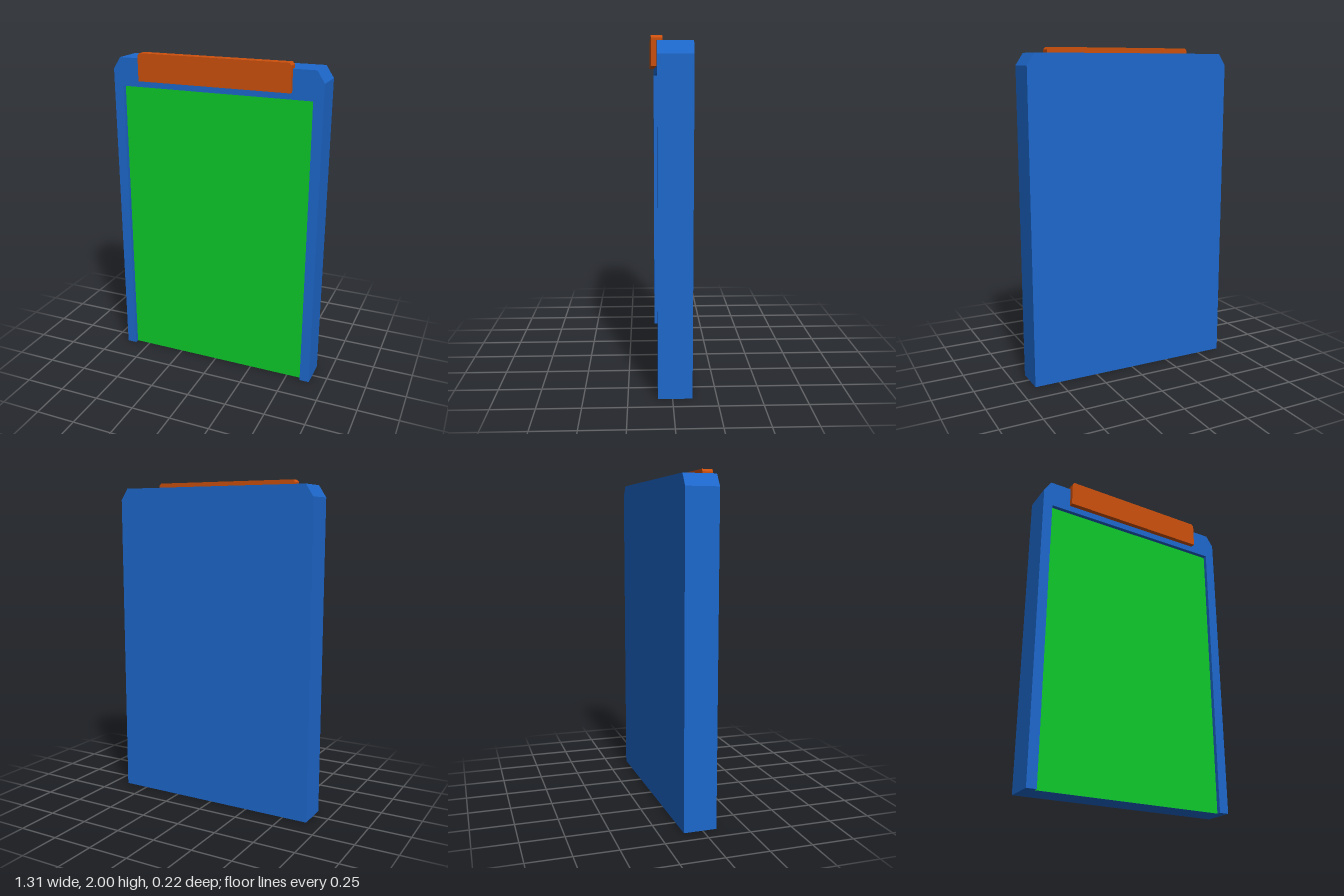
import * as THREE from 'three';

const BACK = -0.112, FLOOR = 0.055, FRONT = 0.082;
const HALF = 0.654, TOP = 1.965;
const PANEL_HALF = 0.593, PANEL_TOP = 1.795;

const blue = new THREE.MeshStandardMaterial({ color: 0x1d68cc });
const green = new THREE.MeshStandardMaterial({ color: 0x0ecb2b });
const orange = new THREE.MeshStandardMaterial({ color: 0xcc500d });

// Extrudes a closed outline between two depths
function slab(name, points, z0, z1, material) {
  const shape = new THREE.Shape(points.map(([x, y]) => new THREE.Vector2(x, y)));
  const geometry = new THREE.ExtrudeGeometry(shape, { depth: z1 - z0, bevelEnabled: false });
  geometry.translate(0, 0, z0);
  const mesh = new THREE.Mesh(geometry, material);
  mesh.name = name;
  return mesh;
}

// Rectangle outline with its two top corners cut off
function cutTop(half, bottom, top, cutX, cutY) {
  return [
    [-half, bottom], [half, bottom], [half, top - cutY],
    [half - cutX, top], [-half + cutX, top], [-half, top - cutY],
  ];
}

export function createModel() {
  const group = new THREE.Group();
  group.name = 'panelCase';

  // Main body behind the recess
  const outline = cutTop(HALF, 0, TOP, 0.046, 0.07);
  group.add(slab('body', outline, BACK, FLOOR, blue));

  // Raised rim: two side rails and a top rail, open at the bottom
  const opening = [
    [PANEL_HALF, 0], [PANEL_HALF, PANEL_TOP], [-PANEL_HALF, PANEL_TOP], [-PANEL_HALF, 0],
  ];
  group.add(slab('rim', [...outline.slice(1), outline[0], ...opening.reverse()], FLOOR, FRONT, blue));

  // Coloured panel lying in the recess
  const panel = new THREE.Mesh(new THREE.PlaneGeometry(PANEL_HALF * 2, PANEL_TOP), green);
  panel.name = 'panel';
  panel.position.set(0, PANEL_TOP / 2, FLOOR + 0.001);
  group.add(panel);

  // Clip bar set into the top rail
  group.add(slab('clipBar', cutTop(0.472, 1.835, 2, 0.012, 0.014), 0.05, 0.112, orange));

  return group;
}
